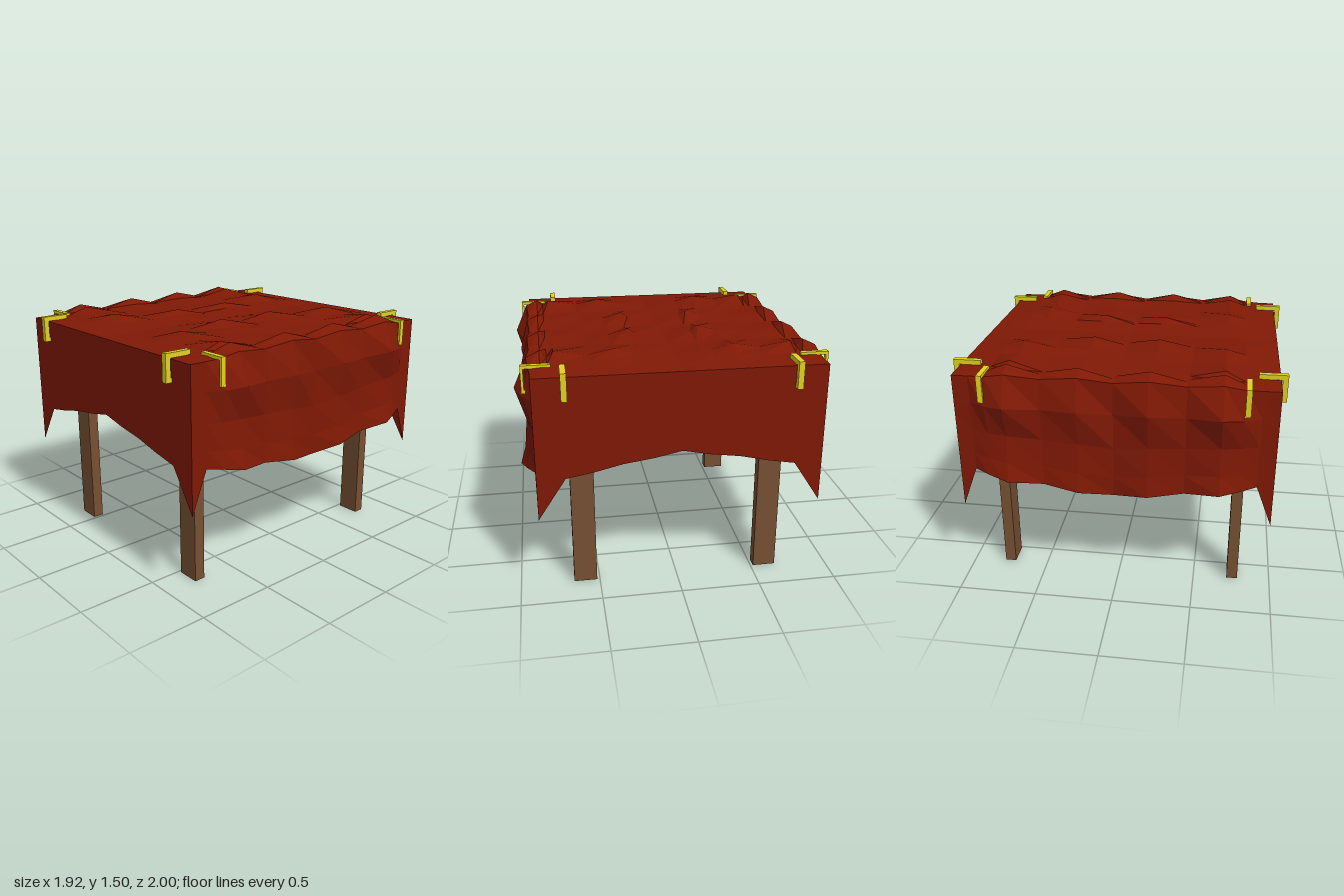
import * as THREE from 'three';

export function createModel() {
  const model = new THREE.Group();
  const material = (name, color, extra = {}) => {
    const m = new THREE.MeshStandardMaterial({ color, ...extra });
    m.name = name;
    return m;
  };
  const clothMat = material('red cloth', 0x801905, { side: THREE.DoubleSide, flatShading: true });
  const woodMat = material('brown wood', 0x775033);
  const clipMat = material('yellow clip', 0xe3d122);

  const add = (parent, name, geometry, mat) => {
    const mesh = new THREE.Mesh(geometry, mat);
    mesh.name = name;
    parent.add(mesh);
    return mesh;
  };
  const box = (parent, name, size, pos, mat) => {
    const mesh = add(parent, name, new THREE.BoxGeometry(...size), mat);
    mesh.position.set(...pos);
    return mesh;
  };

  // Sheet of facets through a grid of points, rows of equal length
  const sheet = (rows) => {
    const pos = [], index = [], n = rows[0].length;
    rows.forEach((row) => row.forEach((p) => pos.push(...p)));
    for (let v = 0; v < rows.length - 1; v++) {
      for (let u = 0; u < n - 1; u++) {
        const a = v * n + u, b = a + n;
        index.push(a, b, a + 1, a + 1, b, b + 1);
      }
    }
    const g = new THREE.BufferGeometry();
    g.setAttribute('position', new THREE.Float32BufferAttribute(pos, 3));
    g.setIndex(index);
    const flat = g.toNonIndexed();
    flat.computeVertexNormals();
    return flat;
  };

  const mirrored = (list) => [...list.slice(1).reverse().map((v) => -v), ...list];

  // Cloth stations from the middle to the end: z, hem height, side bulge,
  // and the height of the folds on top at each x in topXs
  const TOP = 1.44, HX = 0.86, HZ = 0.96;
  const topXs = [0, 0.18, 0.23, 0.36, 0.52, 0.72, 0.76, 0.8, 0.86];
  const stations = [
    { z: 0, hem: 0.7, bulge: 0, folds: [0.005, 0.008, 0.006, 0.012, 0.01, 0.006, 0.005, 0.004, 0] },
    { z: 0.21, hem: 0.73, bulge: 0.065, folds: [0.005, 0.025, 0.055, 0.02, 0.012, 0.016, 0.02, 0.06, 0.025] },
    { z: 0.43, hem: 0.76, bulge: 0.03, folds: [0.005, 0.012, 0.012, 0.016, 0.014, 0.01, 0.008, 0.008, 0.004] },
    { z: 0.64, hem: 0.79, bulge: 0.1, folds: [0.005, 0.016, 0.02, 0.055, 0.025, 0.055, 0.02, 0.063, 0.025] },
    { z: 0.76, hem: 0.81, bulge: 0.055, folds: [0.004, 0.012, 0.014, 0.025, 0.016, 0.012, 0.008, 0.01, 0.004] },
    { z: 0.86, hem: 0.825, bulge: 0.005, folds: [0.002, 0.006, 0.006, 0.006, 0.006, 0.005, 0.005, 0.005, 0] },
    { z: HZ, hem: 0.56, bulge: 0, folds: [0, 0, 0, 0, 0, 0, 0, 0, 0] },
  ];
  // Share of the drop, share of the bulge
  const sideFolds = [[0, 0.2], [0.27, 1], [0.57, 0.38], [0.83, 0.55], [1, 0.88]];

  // Top and both sides as one drape
  const crossSection = ({ z, hem, bulge, folds }, sz) => {
    const half = (s) => [
      ...topXs.slice(0, -1).map((x, i) => [s * x, TOP + folds[i], sz * z]),
      ...sideFolds.map(([drop, out]) => {
        const y0 = TOP + folds[folds.length - 1];
        return [s * (HX + bulge * out), y0 + (hem - y0) * drop, sz * z];
      }),
    ];
    return [...half(-1).slice(1).reverse(), ...half(1)];
  };
  const cloth = new THREE.Group();
  cloth.name = 'tablecloth';
  model.add(cloth);
  const drape = [
    ...stations.slice(1).reverse().map((s) => crossSection(s, -1)),
    ...stations.map((s) => crossSection(s, 1)),
  ];
  add(cloth, 'clothTopAndSides', sheet(drape), clothMat);

  // Flat cloth ends with an arched hem and pointed corners
  const endHem = [0.95, 0.915, 0.89, 0.85, 0.82, 0.56];
  const endXs = mirrored([0, 0.17, 0.35, 0.52, 0.69, HX]);
  const endRows = [0, 1].map((t) => endXs.map((x, i) =>
    [x, TOP + (endHem[Math.abs(i - 5)] - TOP) * t, HZ]));
  add(cloth, 'clothFront', sheet(endRows), clothMat);
  add(cloth, 'clothBack', sheet(endRows), clothMat).rotation.y = Math.PI;

  // Wooden table under the cloth
  const table = new THREE.Group();
  table.name = 'table';
  model.add(table);
  box(table, 'tableTop', [1.71, 0.07, 1.91], [0, 1.395, 0], woodMat);

  for (const sx of [-1, 1]) {
    for (const sz of [-1, 1]) {
      box(table, 'leg', [0.145, 1.37, 0.07], [sx * 0.59, 0.685, sz * 0.755], woodMat);

      // Block and diagonal brace at the top of the leg
      box(table, 'legBlock', [0.4, 0.05, 0.17], [sx * 0.59, 1.34, sz * 0.755], woodMat);
      const brace = box(table, 'brace', [0.24, 0.05, 0.12], [sx * 0.46, 1.27, sz * 0.755], woodMat);
      brace.rotation.z = -sx * Math.PI / 4;

      // Clip over the front or back edge, with a jaw under the table top
      const endClip = new THREE.Group();
      endClip.name = 'endClip';
      box(endClip, 'clipTop', [0.035, 0.03, 0.17], [sx * 0.678, 1.46, sz * 0.915], clipMat);
      box(endClip, 'clipDrop', [0.035, 0.165, 0.033], [sx * 0.678, 1.3905, sz * 0.9835], clipMat);
      box(endClip, 'clipJaw', [0.035, 0.025, 0.15], [sx * 0.678, 1.3205, sz * 0.91], clipMat);

      // Clip over the side edge, with a jaw under the table top
      const sideClip = new THREE.Group();
      sideClip.name = 'sideClip';
      box(sideClip, 'clipTop', [0.17, 0.02, 0.033], [sx * 0.825, 1.454, sz * 0.777], clipMat);
      box(sideClip, 'clipDrop', [0.016, 0.168, 0.033], [sx * 0.905, 1.38, sz * 0.777], clipMat);
      box(sideClip, 'clipJaw', [0.11, 0.02, 0.033], [sx * 0.85, 1.306, sz * 0.777], clipMat);
      model.add(endClip, sideClip);
    }
  }
  return model;
}
